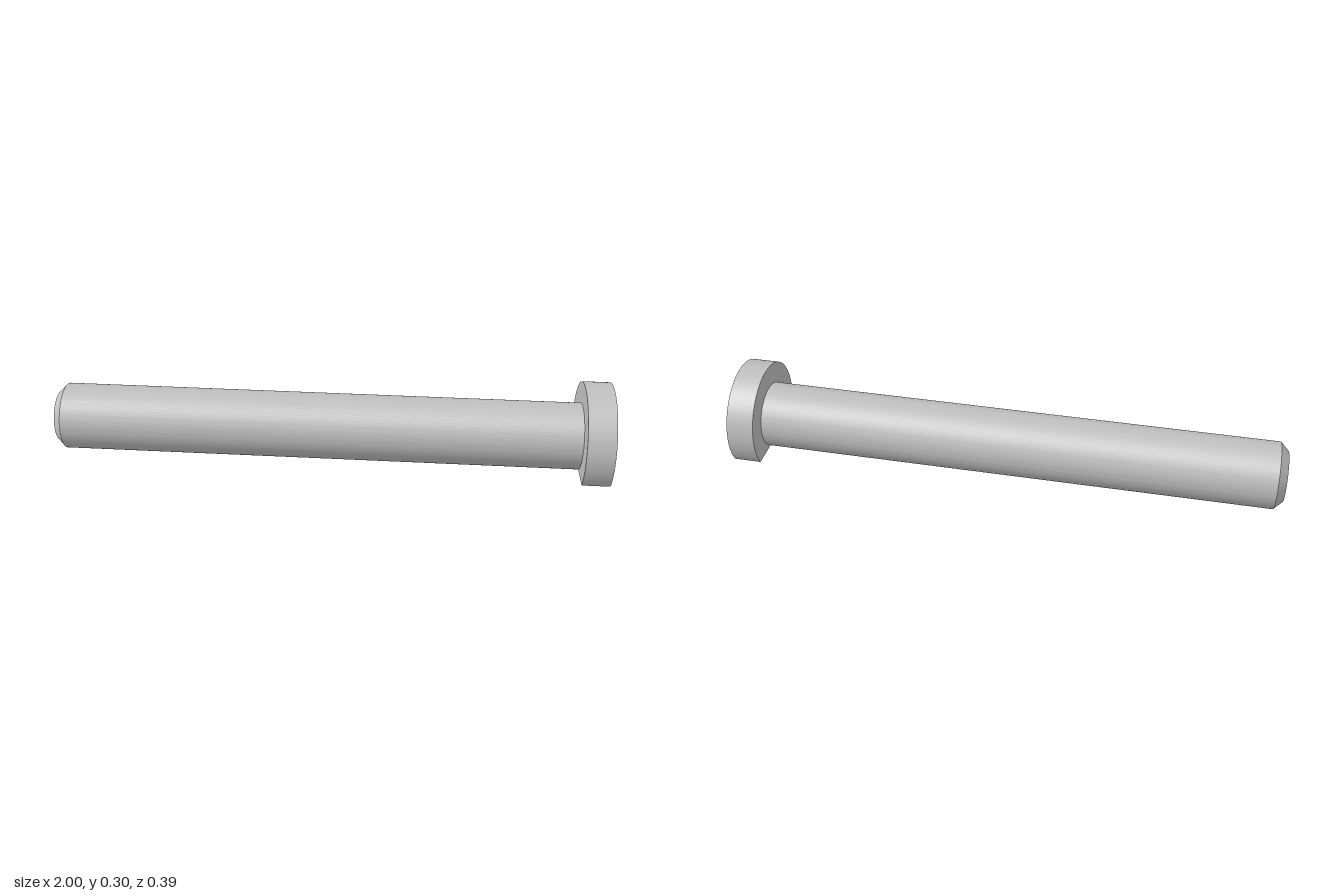
import * as THREE from 'three';
import { toCreasedNormals } from 'three/addons/utils/BufferGeometryUtils.js';

const AXIS_Y = 0.102; // height of the pin axis above the flat underside
const SEGMENTS = 72;

// Circle of radius r around the axis, cut off by the plane y = 0
function ring(x, r) {
  const start = r > AXIS_Y ? Math.acos(AXIS_Y / r) : 0;
  const points = [];
  for (let j = 0; j <= SEGMENTS; j++) {
    const a = start + (2 * (Math.PI - start) * j) / SEGMENTS;
    points.push([x, Math.max(0, AXIS_Y - r * Math.cos(a)), r * Math.sin(a)]);
  }
  return points;
}

// Closed solid through [x, radius] sections, listed from -x to +x
function flattenedRod(sections) {
  const rings = sections.map(([x, r]) => ring(x, r));
  const n = SEGMENTS + 1;
  const last = rings.length - 1;
  const positions = [];
  const tri = (a, b, c) => positions.push(...a, ...b, ...c);
  const startCentre = [sections[0][0], AXIS_Y, 0];
  const endCentre = [sections[last][0], AXIS_Y, 0];
  for (let j = 0; j < n; j++) {
    const k = (j + 1) % n; // the closing step spans the flat
    for (let i = 0; i < last; i++) {
      tri(rings[i][j], rings[i + 1][j], rings[i + 1][k]);
      tri(rings[i][j], rings[i + 1][k], rings[i][k]);
    }
    tri(startCentre, rings[0][j], rings[0][k]);
    tri(endCentre, rings[last][k], rings[last][j]);
  }
  const geometry = new THREE.BufferGeometry();
  geometry.setAttribute('position', new THREE.Float32BufferAttribute(positions, 3));
  return toCreasedNormals(geometry, 0.4);
}

export function createModel() {
  const steel = new THREE.MeshStandardMaterial({ color: 0xc0c0c0 });
  steel.name = 'steel grey';
  const group = new THREE.Group();
  group.name = 'flatHeadPin';

  const add = (name, sections) => {
    const mesh = new THREE.Mesh(flattenedRod(sections), steel);
    mesh.name = name;
    group.add(mesh);
  };

  // Shaft with a 45 degree chamfered tip; extra sections follow the flat's cut through the chamfer
  const chamfer = [0.09, 0.102, 0.104, 0.108, 0.112, 0.116, 0.12].map((r) => [-1.09 + r, r]);
  add('shaft', [...chamfer, [0.9, 0.12]]);

  // Wide head, cut by the same flat
  add('head', [[0.9, 0.197], [1, 0.197]]);

  return group;
}
